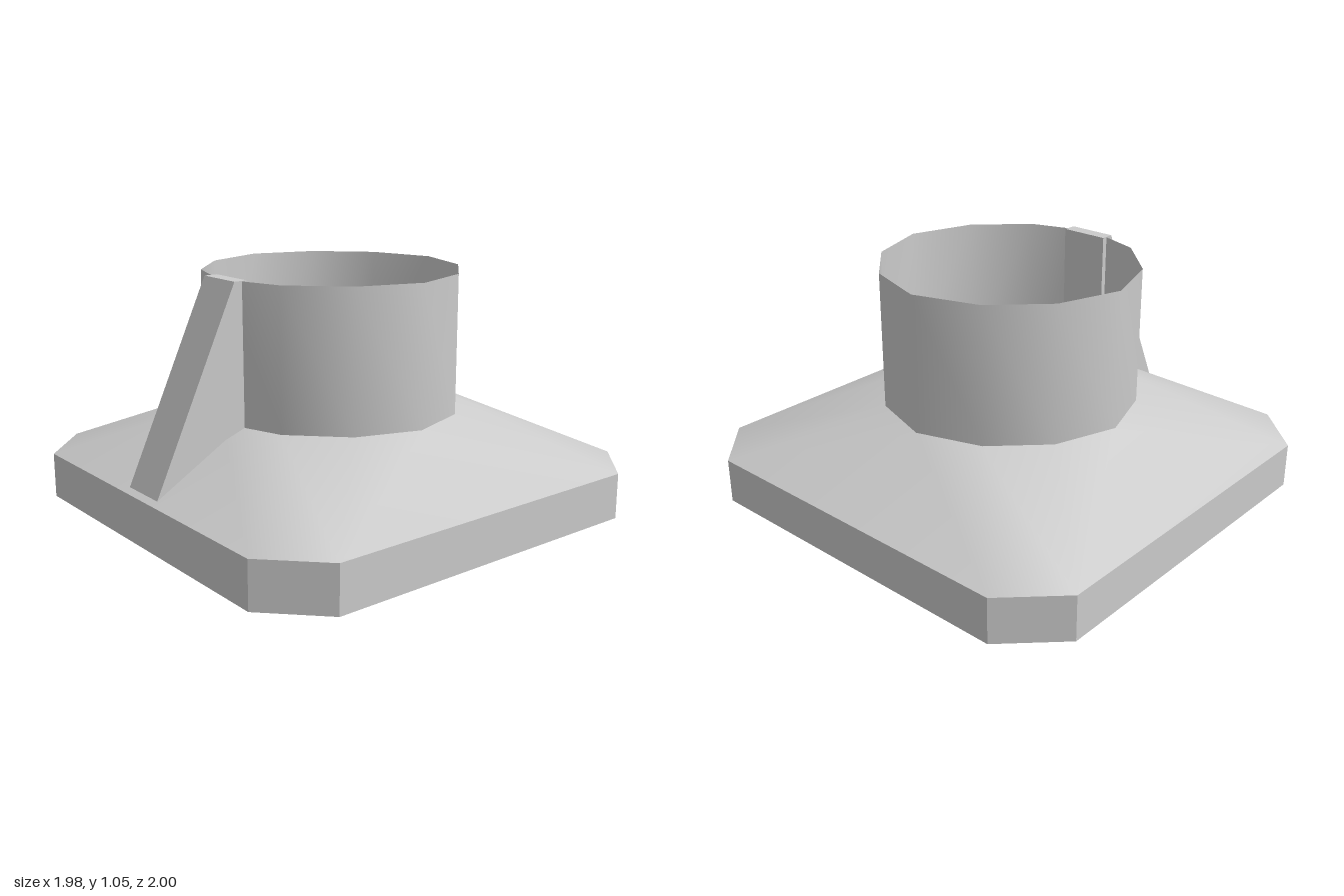
import * as THREE from 'three';

const material = (flatShading) =>
  new THREE.MeshStandardMaterial({ color: 0xcccccc, side: THREE.DoubleSide, flatShading });

// Square outline with cut corners, as [x, z] corners in order of angle
const plateOutline = [
  [0.99, 0.77], [0.765, 1], [-0.765, 1], [-0.99, 0.77],
  [-0.99, -0.77], [-0.765, -1], [0.765, -1], [0.99, -0.77],
];

// Regular outline with n corners, the first one turned away from +x by start
function roundOutline(n, rx, rz, start = 0) {
  return Array.from({ length: n }, (_, i) => {
    const a = start + (i / n) * Math.PI * 2;
    return [rx * Math.cos(a), rz * Math.sin(a)];
  });
}

// Twelve-sided pipe outline, slightly fuller on the axes
const pipeOutline = roundOutline(12, 0.58, 0.59).map(([x, z], i) => {
  const s = i % 3 === 0 ? 1 : 0.97;
  return [x * s, z * s];
});

// Skin between two outlines whose corner counts may differ
function loft(low, lowY, high, highY) {
  const positions = [];
  low.forEach(([x, z]) => positions.push(x, lowY, z));
  high.forEach(([x, z]) => positions.push(x, highY, z));
  const turn = Math.PI * 2;
  const angle = (ring, k) => {
    const [x, z] = ring[k % ring.length];
    const a = Math.atan2(z, x);
    return (a < -1e-6 ? a + turn : a) + turn * Math.floor(k / ring.length);
  };
  const middle = (ring, k) => (angle(ring, k) + angle(ring, k + 1)) / 2;
  const L = (k) => k % low.length;
  const H = (k) => low.length + (k % high.length);
  const index = [];
  let i = 0, j = 0;
  while (i < low.length || j < high.length) {
    const stepHigh = i >= low.length ||
      (j < high.length && middle(high, j) <= middle(low, i) + 1e-6);
    if (stepHigh) {
      index.push(H(j), H(j + 1), L(i));
      j++;
    } else {
      index.push(L(i), H(j), L(i + 1));
      i++;
    }
  }
  const geometry = new THREE.BufferGeometry();
  geometry.setAttribute('position', new THREE.Float32BufferAttribute(positions, 3));
  geometry.setIndex(index);
  geometry.computeVertexNormals();
  return geometry;
}

export function createModel() {
  const model = new THREE.Group();
  const add = (name, geometry, flat) => {
    const mesh = new THREE.Mesh(geometry, material(flat));
    mesh.name = name;
    model.add(mesh);
  };

  // Base: upright rim and sloping shoulder
  add('baseRim', loft(plateOutline, 0, plateOutline, 0.2), true);
  add('baseShoulder', loft(plateOutline, 0.2, pipeOutline, 0.44), false);

  // Slightly hollow underside around a round foot that closes the pipe
  const sides = 14;
  const start = Math.PI / sides;
  const footEdge = roundOutline(sides, 0.83, 0.83, start);
  const footRoot = roundOutline(sides, 0.77, 0.77, start);
  add('baseUnderside', loft(footRoot, 0.08, plateOutline, 0), false);
  add('footWall', loft(footEdge, 0, footRoot, 0.08), true);
  const foot = new THREE.CircleGeometry(0.83, sides, start);
  foot.rotateX(Math.PI / 2);
  add('footDisc', foot, true);

  // Open pipe
  add('pipe', loft(pipeOutline, 0.44, pipeOutline, 1.045), false);

  // Sloping brace on the right side, passing just through the pipe wall
  const profile = new THREE.Shape([
    new THREE.Vector2(-0.98, 0.18),
    new THREE.Vector2(-0.52, 0.42),
    new THREE.Vector2(-0.52, 1.047),
    new THREE.Vector2(-0.58, 1.047),
  ]);
  const brace = new THREE.ExtrudeGeometry(profile, { depth: 0.22, bevelEnabled: false });
  brace.translate(0, 0, -0.11);
  add('brace', brace, true);

  return model;
}
